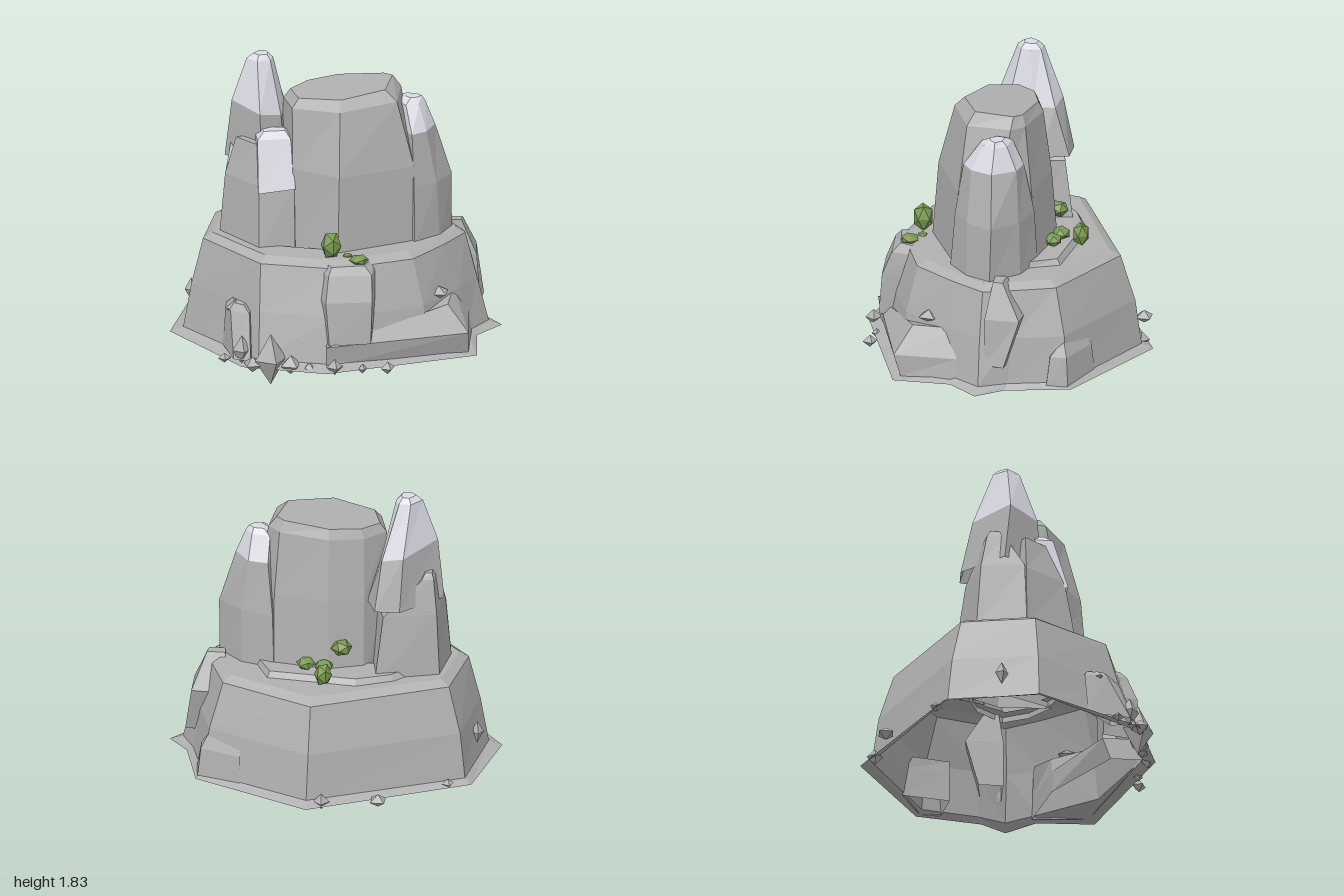
import * as THREE from 'three';

const rock = new THREE.MeshStandardMaterial({ color: 0xb0b0b0, side: THREE.DoubleSide });
rock.name = 'rockGrey';
const pale = new THREE.MeshStandardMaterial({ color: 0xdadbe4, side: THREE.DoubleSide });
pale.name = 'paleStone';
const leaf = new THREE.MeshStandardMaterial({ color: 0x7a9a52 });
leaf.name = 'leafGreen';
for (const m of [rock, pale, leaf]) m.flatShading = true;

// One cross-section: [x, z] corners at height y, optionally tilted along x
const ring = (y, pts, tilt = 0) => pts.map(([x, z]) => new THREE.Vector3(x, y + tilt * x, z));

// Faceted skin through rings listed from bottom to top
function loft(name, material, rings, closeTop = true) {
  const tris = [];
  for (let r = 0; r < rings.length - 1; r++) {
    const a = rings[r], b = rings[r + 1];
    a.forEach((p, i) => {
      const j = (i + 1) % a.length;
      tris.push(p, b[i], a[j], a[j], b[i], b[j]);
    });
  }
  if (closeTop) {
    const top = rings[rings.length - 1];
    const c = top.reduce((s, p) => s.add(p), new THREE.Vector3()).divideScalar(top.length);
    top.forEach((p, i) => tris.push(c, top[(i + 1) % top.length], p));
  }
  const geometry = new THREE.BufferGeometry().setFromPoints(tris);
  geometry.computeVertexNormals();
  const mesh = new THREE.Mesh(geometry, material);
  mesh.name = name;
  return mesh;
}

function blob(name, geometry, material, [x, y, z, w, h, turn = 0]) {
  const mesh = new THREE.Mesh(geometry, material);
  mesh.name = name;
  mesh.position.set(x, y, z);
  mesh.scale.set(w, h, w);
  mesh.rotation.y = turn;
  return mesh;
}

export function createModel() {
  const g = new THREE.Group();
  g.name = 'rockFormation';

  // Hollow plinth with a flared skirt; its top is open beneath the pillars
  const rim = [[0.78, 0.06], [0.64, 0.26], [0.44, 0.5], [-0.03, 0.65], [-0.48, 0.53], [-0.8, 0.07], [-0.7, -0.37], [0.12, -0.69], [0.66, -0.37], [0.73, -0.13]];
  g.add(loft('plinth', rock, [
    ring(0.11, [[1, 0.08], [0.84, 0.25], [0.82, 0.6], [-0.1, 0.87], [-0.6, 0.72], [-1, 0.08], [-0.84, -0.49], [0.14, -0.89], [0.82, -0.48], [0.89, -0.08]]),
    ring(0.14, [[0.92, 0.07], [0.78, 0.26], [0.52, 0.59], [-0.05, 0.79], [-0.5, 0.68], [-0.92, 0.08], [-0.8, -0.46], [0.14, -0.82], [0.78, -0.45], [0.85, -0.1]]),
    ring(0.42, [[0.85, 0.07], [0.73, 0.26], [0.5, 0.56], [-0.04, 0.74], [-0.49, 0.61], [-0.87, 0.08], [-0.77, -0.43], [0.13, -0.78], [0.74, -0.43], [0.81, -0.12]]),
    ring(0.7, rim),
    ring(0.735, rim.map(([x, z]) => [x * 0.93, z * 0.9])),
    ring(0.735, [[0.62, 0.04], [0.56, 0.15], [0.38, 0.27], [-0.01, 0.42], [-0.44, 0.3], [-0.64, 0.03], [-0.58, -0.22], [0.03, -0.24], [0.38, -0.17], [0.54, -0.1]]),
  ], false));
  g.add(loft('rearStep', rock, [
    ring(0.72, [[0.5, -0.1], [0.2, -0.2], [-0.55, -0.2], [-0.38, -0.38], [-0.14, -0.47], [0.4, -0.37]]),
    ring(0.77, [[0.48, -0.1], [0.2, -0.2], [-0.52, -0.2], [-0.35, -0.36], [-0.14, -0.43], [0.38, -0.34]]),
  ]));

  // Boulders set into the plinth
  g.add(loft('frontLedge', rock, [
    ring(0.12, [[0.81, 0.22], [0.77, 0.56], [-0.1, 0.79], [-0.1, 0.6], [0.4, 0.3]]),
    ring(0.255, [[0.79, 0.22], [0.77, 0.6], [-0.1, 0.81], [-0.1, 0.55], [0.4, 0.3]]),
    ring(0.25, [[0.7, 0.22], [0.65, 0.5], [0.1, 0.68], [0.1, 0.5], [0.45, 0.3]], 0.24),
  ]));
  g.add(loft('frontBoulder', rock, [
    ring(0.26, [[0.2, 0.55], [0.17, 0.77], [-0.08, 0.79], [-0.14, 0.55]]),
    ring(0.52, [[0.22, 0.55], [0.18, 0.75], [-0.1, 0.76], [-0.165, 0.55]]),
    ring(0.67, [[0.22, 0.52], [0.18, 0.69], [-0.08, 0.7], [-0.15, 0.52]]),
    ring(0.715, [[0.2, 0.5], [0.14, 0.64], [-0.06, 0.66], [-0.12, 0.5]]),
  ]));
  g.add(loft('rightBoulder', rock, [
    ring(0.26, [[0.9, -0.08], [0.87, 0.04], [0.65, 0.03], [0.65, -0.12]]),
    ring(0.55, [[0.86, -0.17], [0.85, 0.04], [0.65, 0.03], [0.65, -0.2]]),
    ring(0.76, [[0.77, -0.06], [0.76, 0.0], [0.66, 0.0], [0.66, -0.07]]),
  ]));
  g.add(loft('rearRightBoulder', rock, [
    ring(0.12, [[0.81, -0.46], [0.82, -0.33], [0.6, -0.3], [0.55, -0.59]]),
    ring(0.3, [[0.79, -0.45], [0.79, -0.35], [0.6, -0.3], [0.55, -0.57]]),
    ring(0.38, [[0.75, -0.43], [0.74, -0.41], [0.6, -0.3], [0.55, -0.53]]),
  ]));
  g.add(loft('frontLeftBoulder', rock, [
    ring(0.14, [[-0.53, 0.55], [-0.55, 0.71], [-0.65, 0.66], [-0.7, 0.4]]),
    ring(0.4, [[-0.54, 0.53], [-0.55, 0.6], [-0.66, 0.52], [-0.68, 0.38]]),
    ring(0.44, [[-0.57, 0.5], [-0.58, 0.54], [-0.63, 0.5], [-0.64, 0.4]]),
  ]));

  // Broad central pillar with a sloping flat top
  g.add(loft('mainPillar', rock, [
    ring(0.7, [[0.48, -0.02], [0.47, 0.27], [-0.01, 0.47], [-0.28, 0.27], [-0.34, -0.02], [-0.18, -0.24], [0.03, -0.3], [0.36, -0.22]]),
    ring(1.2, [[0.47, 0], [0.46, 0.25], [0, 0.43], [-0.27, 0.25], [-0.33, -0.02], [-0.18, -0.2], [0.03, -0.26], [0.36, -0.18]]),
    ring(1.58, [[0.4, -0.06], [0.36, 0.21], [0.01, 0.33], [-0.27, 0.19], [-0.31, -0.02], [-0.18, -0.15], [0.03, -0.21], [0.33, -0.14]], 0.06),
    ring(1.64, [[0.35, -0.07], [0.29, 0.17], [0.02, 0.27], [-0.23, 0.16], [-0.27, -0.02], [-0.16, -0.13], [0.03, -0.18], [0.3, -0.12]], 0.09),
  ]));

  // Right pillar and its pale cap
  const rightSeam = ring(1.39, [[0.6, 0.03], [0.54, 0.16], [0.45, 0.22], [0.36, 0], [0.4, -0.14], [0.52, -0.11]]);
  g.add(loft('rightPillar', rock, [
    ring(0.7, [[0.7, 0.03], [0.62, 0.18], [0.46, 0.3], [0.3, 0], [0.36, -0.22], [0.56, -0.14]]),
    ring(1.07, [[0.7, 0.02], [0.6, 0.18], [0.46, 0.27], [0.32, 0], [0.37, -0.2], [0.56, -0.13]]),
    rightSeam,
  ], false));
  g.add(loft('rightCap', pale, [
    rightSeam,
    ring(1.54, [[0.54, 0.02], [0.5, 0.09], [0.42, 0.11], [0.37, 0.02], [0.39, -0.07], [0.5, -0.05]]),
    ring(1.57, [[0.52, 0.02], [0.49, 0.05], [0.45, 0.06], [0.42, 0.02], [0.43, -0.03], [0.49, -0.02]]),
  ]));

  // Front left pillar, with a pale block hanging over its front corner
  g.add(loft('frontLeftPillar', rock, [
    ring(0.7, [[-0.24, 0.2], [-0.26, 0.31], [-0.48, 0.35], [-0.7, 0.03], [-0.4, -0.1]]),
    ring(1.1, [[-0.25, 0.18], [-0.26, 0.26], [-0.475, 0.28], [-0.665, 0.03], [-0.4, -0.1]]),
    ring(1.33, [[-0.3, 0.13], [-0.31, 0.17], [-0.47, 0.18], [-0.6, 0.03], [-0.4, -0.05]]),
  ]));
  g.add(loft('frontLeftCap', pale, [
    ring(1.1, [[-0.25, 0.14], [-0.255, 0.28], [-0.48, 0.305], [-0.485, 0.14]], 0.08),
    ring(1.37, [[-0.27, 0.1], [-0.28, 0.19], [-0.48, 0.21], [-0.485, 0.1]]),
    ring(1.41, [[-0.31, 0.09], [-0.31, 0.15], [-0.44, 0.16], [-0.45, 0.09]]),
  ]));

  // Tall left pillar overhanging a small rear spire
  const tallSeam = ring(1.4, [[-0.29, -0.1], [-0.33, 0.05], [-0.46, 0.12], [-0.62, -0.06], [-0.42, -0.27], [-0.29, -0.24]], -0.22);
  g.add(loft('tallPillar', rock, [
    ring(1.17, [[-0.2, -0.16], [-0.3, 0.04], [-0.45, 0.14], [-0.66, -0.1], [-0.4, -0.34], [-0.25, -0.33]]),
    tallSeam,
  ], false));
  g.add(loft('tallCap', pale, [
    tallSeam,
    ring(1.8, [[-0.37, -0.08], [-0.39, -0.02], [-0.47, 0.01], [-0.53, -0.07], [-0.46, -0.15], [-0.39, -0.14]]),
    ring(1.83, [[-0.4, -0.08], [-0.41, -0.04], [-0.46, -0.03], [-0.49, -0.07], [-0.45, -0.12], [-0.41, -0.11]]),
  ]));
  g.add(loft('rearSpire', rock, [
    ring(0.7, [[-0.22, -0.1], [-0.3, 0.1], [-0.7, 0.03], [-0.64, -0.27], [-0.25, -0.36]]),
    ring(1.12, [[-0.26, -0.1], [-0.32, 0.08], [-0.66, 0.02], [-0.62, -0.24], [-0.3, -0.3]]),
    ring(1.33, [[-0.52, -0.14], [-0.53, -0.09], [-0.61, -0.1], [-0.6, -0.2], [-0.53, -0.21]]),
    ring(1.365, [[-0.54, -0.15], [-0.55, -0.12], [-0.59, -0.13], [-0.59, -0.18], [-0.55, -0.18]]),
  ]));

  // Rock shards: x, y, z, half width, half height, turn
  const shard = new THREE.OctahedronGeometry(1);
  [
    [-0.43, 0.16, 0.73, 0.1, 0.16, 0.3], [-0.6, 0.2, 0.66, 0.06, 0.09, 0.2], [-0.54, 0.13, 0.73, 0.06, 0.05, 0.9],
    [-0.31, 0.13, 0.75, 0.07, 0.06, 0.5], [-0.05, 0.14, 0.83, 0.05, 0.05, 0.2], [0.27, 0.12, 0.81, 0.045, 0.04, 0.4],
    [0.6, 0.45, 0.41, 0.07, 0.04, 0.6], [0.63, 0.42, 0.34, 0.04, 0.03, 0.1], [-0.63, 0.4, 0.46, 0.06, 0.05, 0.4],
    [-0.29, 0.13, -0.78, 0.06, 0.04, 0.7], [0.05, 0.13, -0.81, 0.05, 0.05, 0], [-0.7, 0.13, -0.52, 0.04, 0.03, 0.3],
    [-0.86, 0.3, -0.14, 0.04, 0.07, 0.2], [-0.78, 0.4, -0.15, 0.04, 0.06, 0.8], [0.72, 0.42, 0, 0.05, 0.05, 0.5],
    [-0.7, 0.12, 0.58, 0.04, 0.03, 0.1], [-0.2, 0.12, 0.78, 0.04, 0.03, 0.6], [0.12, 0.11, 0.79, 0.03, 0.03, 0.3],
  ].forEach((s) => g.add(blob('shard', shard, rock, s)));

  // Little green plants on the ledge
  const bush = new THREE.IcosahedronGeometry(1);
  [
    [-0.055, 0.81, 0.53, 0.065, 0.09, 0.2], [0.11, 0.735, 0.59, 0.06, 0.03, 0.6], [0.045, 0.735, 0.52, 0.03, 0.02],
    [0.055, 0.8, -0.44, 0.055, 0.075, 0.4], [0.055, 0.8, -0.32, 0.06, 0.04], [-0.05, 0.91, -0.29, 0.065, 0.05, 0.8],
    [0.165, 0.8, -0.285, 0.06, 0.04, 0.3],
  ].forEach((s) => g.add(blob('bush', bush, leaf, s)));

  return g;
}
